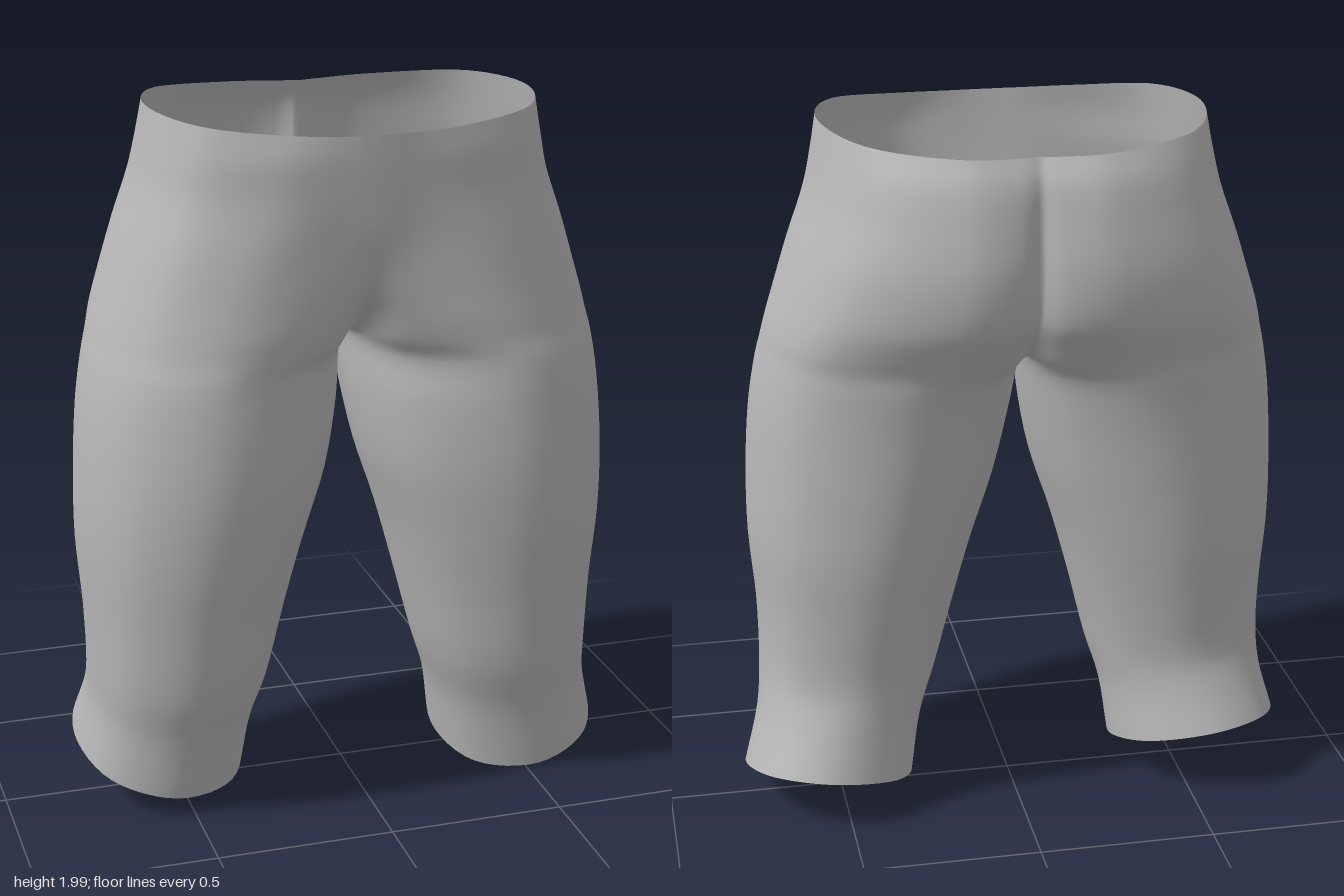
import * as THREE from 'three';
import { mergeVertices } from 'three/addons/utils/BufferGeometryUtils.js';

const CENTRE = -0.02; // x of the centre seam
const COLS = 48, STEPS = 4;
const CROTCH = 7; // index of the section where the two legs separate

// Half-body sections from waist to hem, x measured from the centre seam:
// [y, inner x, front seam z, back seam z, front x, front z, outer x, outer z, back x, back z, hem tilt]
const SECTIONS = [
  [2.00, 0, 0.435, -0.34, 0.25, 0.40, 0.53, 0.05, 0.20, -0.355, 0],
  [1.90, 0, 0.43, -0.365, 0.27, 0.405, 0.547, 0.04, 0.20, -0.39, 0],
  [1.80, 0, 0.42, -0.375, 0.29, 0.40, 0.57, 0.03, 0.20, -0.415, 0],
  [1.66, 0, 0.40, -0.375, 0.33, 0.403, 0.62, 0.02, 0.21, -0.435, 0],
  [1.52, 0, 0.345, -0.345, 0.37, 0.405, 0.665, 0.01, 0.23, -0.42, 0],
  [1.44, 0, 0.26, -0.28, 0.38, 0.41, 0.69, 0.01, 0.27, -0.38, 0],
  [1.38, 0, 0.16, -0.20, 0.39, 0.412, 0.705, 0.02, 0.29, -0.35, 0],
  [1.32, 0, -0.02, -0.02, 0.40, 0.418, 0.72, 0.03, 0.31, -0.335, 0],
  [1.20, 0.015, 0.02, 0.02, 0.41, 0.425, 0.74, 0.04, 0.34, -0.315, 0],
];
const LEG_SECTIONS = [
  [1.00, 0.055, 0.05, 0.05, 0.43, 0.425, 0.755, 0.05, 0.38, -0.295, 0],
  [0.80, 0.12, 0.05, 0.05, 0.45, 0.405, 0.757, 0.05, 0.42, -0.275, 0],
  [0.60, 0.175, 0.05, 0.05, 0.47, 0.37, 0.742, 0.05, 0.45, -0.245, 0],
  [0.40, 0.23, 0.04, 0.04, 0.49, 0.33, 0.74, 0.03, 0.48, -0.225, 0.25],
  [0.27, 0.275, 0.01, 0.01, 0.52, 0.28, 0.75, 0.0, 0.52, -0.245, 0.6],
  [0.09, 0.305, -0.03, -0.03, 0.55, 0.24, 0.79, -0.03, 0.56, -0.29, 1],
];

// Points of one section, from the front seam round the outside to the back seam
function sectionPoints(row, index, side) {
  const [y, ix, zf, zb, fx, fz, ox, oz, bx, bz, tilt] = row;
  const k = 0.72;
  const kf = fz < zf ? 0.1 : k; // a belly that bulges forward stays rounded
  const p = (x, z) => new THREE.Vector3(x, 0, z);
  const points = [
    p(ix, zf),
    p(fx + (ix - fx) * k, zf + (fz - zf) * kf),
    p(fx, fz),
    p(fx + (ox - fx) * k, oz + (fz - oz) * k),
    p(ox, oz),
    p(bx + (ox - bx) * k, oz + (bz - oz) * k),
    p(bx, bz),
    p(bx + (ix - bx) * k, zb + (bz - zb) * k),
  ];
  const closed = index >= CROTCH;
  if (!closed) points.push(p(ix, zb));
  const curve = new THREE.CatmullRomCurve3(points, closed);
  return Array.from({ length: COLS + 1 }, (_, j) => {
    const v = curve.getPoint(j / COLS);
    v.y = y + tilt * (-0.28 * (v.z + 0.03) + 0.14 * (v.x - 0.555));
    if (index === 0) v.y -= 0.035 * Math.max(0, 1 - (v.x / 0.53) ** 2); // waist dips in the middle
    // the right hem sits a little higher and further in
    if (side < 0) v.y += 0.05 * tilt;
    v.x += (side > 0 ? 0.01 : -0.02) * tilt;
    return v;
  });
}

// Loft one half through its sections
function addHalf(side, positions, indices) {
  const rows = [...SECTIONS, ...LEG_SECTIONS].map((r, i) => sectionPoints(r, i, side));
  const count = (rows.length - 1) * STEPS;
  const base = positions.length / 3;
  const columns = [];
  for (let j = 0; j <= COLS; j++) {
    columns.push(new THREE.CatmullRomCurve3(rows.map((r) => r[j])).getPoints(count));
  }
  for (let i = 0; i <= count; i++) {
    // close the inseam below the crotch
    if (i >= CROTCH * STEPS) columns[COLS][i].copy(columns[0][i]);
    for (let j = 0; j <= COLS; j++) {
      const v = columns[j][i];
      const seam = i < CROTCH * STEPS && (j === 0 || j === COLS);
      const x = seam ? 0 : Math.max(0, v.x);
      positions.push(CENTRE + side * x, v.y, v.z);
    }
  }
  const w = COLS + 1;
  for (let i = 0; i < count; i++) {
    for (let j = 0; j < COLS; j++) {
      const a = base + i * w + j, b = a + w, c = b + 1, d = a + 1;
      if (side > 0) indices.push(a, b, c, a, c, d);
      else indices.push(a, c, b, a, d, c);
    }
  }
}

export function createModel() {
  const group = new THREE.Group();
  group.name = 'kneeLengthShorts';

  const cloth = new THREE.MeshStandardMaterial({ color: 0xb8b8b8, side: THREE.DoubleSide });
  cloth.name = 'grey cloth';

  // Both halves are welded along the centre seam for smooth shading
  const positions = [], indices = [];
  addHalf(1, positions, indices);
  addHalf(-1, positions, indices);
  let geometry = new THREE.BufferGeometry();
  geometry.setAttribute('position', new THREE.Float32BufferAttribute(positions, 3));
  geometry.setIndex(indices);
  geometry = mergeVertices(geometry, 1e-4);
  geometry.computeVertexNormals();

  const shorts = new THREE.Mesh(geometry, cloth);
  shorts.name = 'shorts';
  group.add(shorts);
  return group;
}
